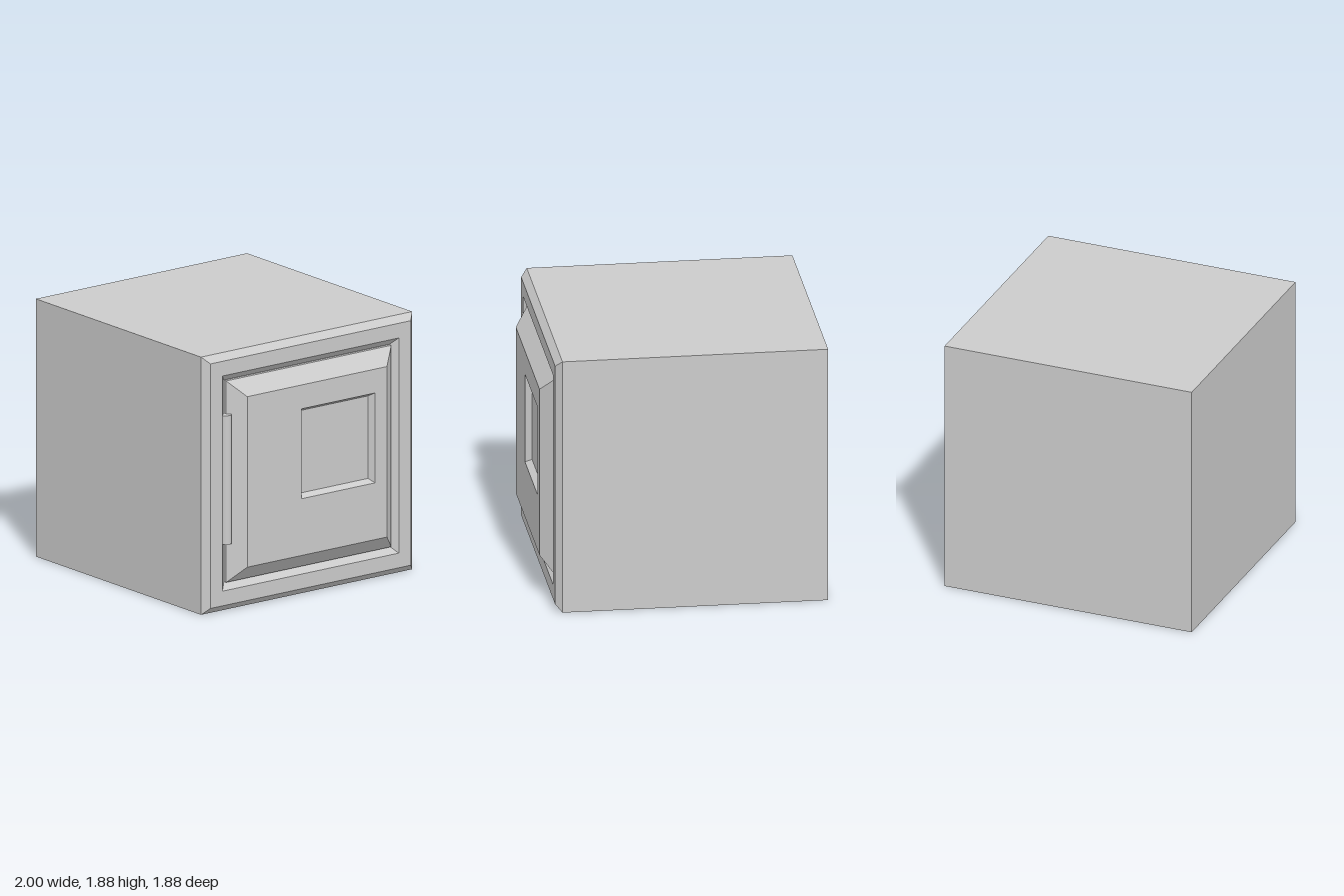
import * as THREE from 'three';

const material = new THREE.MeshStandardMaterial({ color: 0xcccccc });

// A rectangular cross-section at x, centred at (y, z) with half sizes hy, hz
const rect = (x, h, y = 0.94, z = 0) => [
  [x, y - h, z + h],
  [x, y - h, z - h],
  [x, y + h, z - h],
  [x, y + h, z + h],
].map((p) => new THREE.Vector3(...p));

// Joins successive rectangles with flat faces and caps both ends
function loftRects(name, rings) {
  const points = [];
  const quad = (a, b, c, d) => points.push(a, b, c, a, c, d);
  const [s0, s1, s2, s3] = rings[0];
  quad(s3, s2, s1, s0);
  for (let r = 0; r < rings.length - 1; r++) {
    const a = rings[r], b = rings[r + 1];
    for (let i = 0; i < 4; i++) {
      const j = (i + 1) % 4;
      quad(a[i], a[j], b[j], b[i]);
    }
  }
  quad(...rings[rings.length - 1]);
  const geometry = new THREE.BufferGeometry().setFromPoints(points);
  geometry.computeVertexNormals();
  const mesh = new THREE.Mesh(geometry, material);
  mesh.name = name;
  return mesh;
}

export function createModel() {
  const model = new THREE.Group();
  model.name = 'safe';

  // Cabinet: bevelled face edge, then a bevelled groove around the door
  model.add(loftRects('cabinet', [
    rect(-1, 0.94),
    rect(0.88, 0.94),
    rect(0.926, 0.892),
    rect(0.926, 0.785),
    rect(0.88, 0.737),
  ]));

  // Door: raised slab with sloped sides and an off-centre recessed panel
  model.add(loftRects('door', [
    rect(0.87, 0.735),
    rect(0.904, 0.735),
    rect(1, 0.622),
    rect(1, 0.328, 1.06, -0.188),
    rect(0.954, 0.301, 1.06, -0.188),
  ]));

  // Upright round bar set in the groove
  const handle = new THREE.Mesh(new THREE.CylinderGeometry(0.041, 0.041, 0.94, 32), material);
  handle.name = 'handle';
  handle.position.set(0.912, 0.965, 0.744);
  model.add(handle);

  return model;
}
